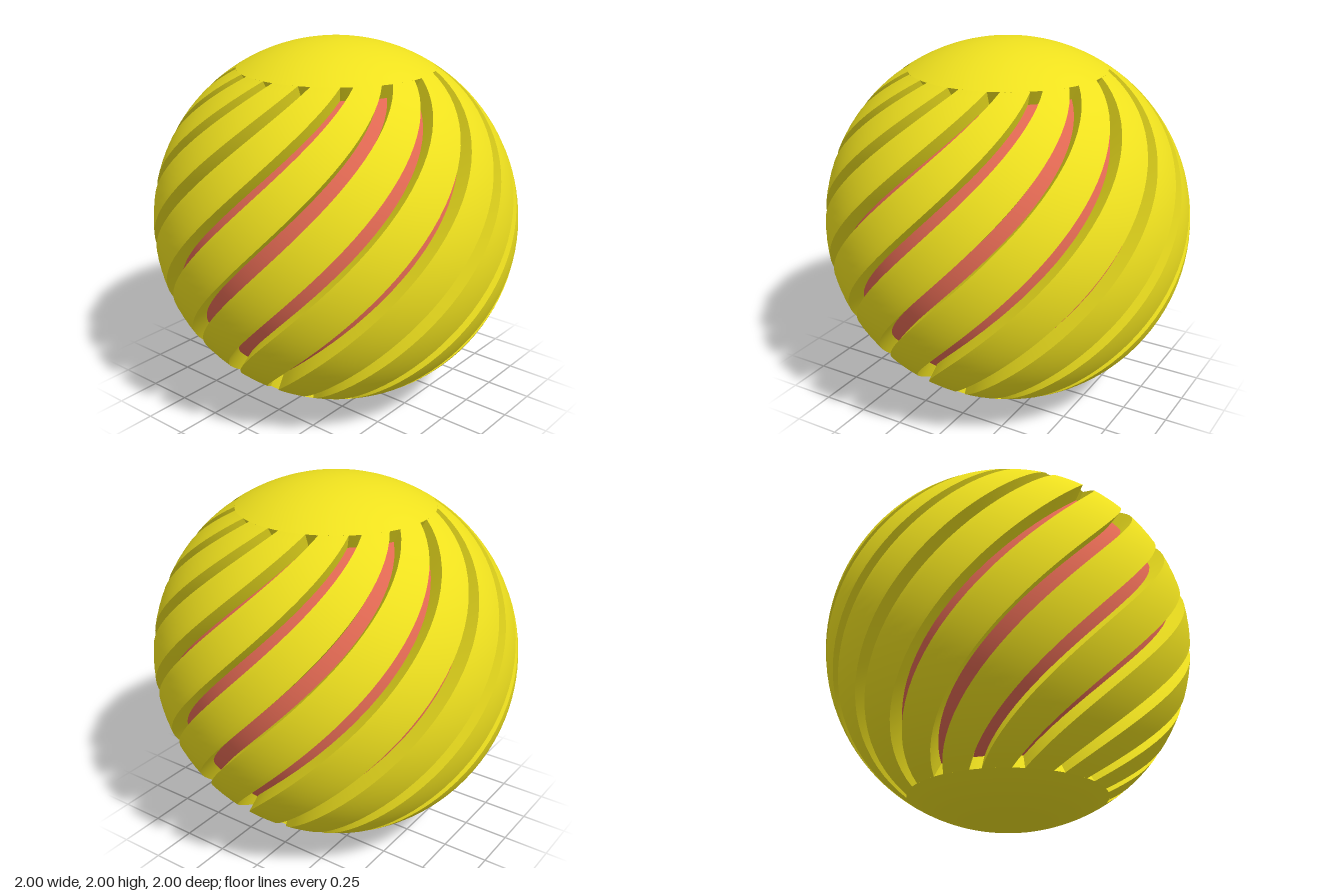
import * as THREE from 'three';
import { toCreasedNormals } from 'three/addons/utils/BufferGeometryUtils.js';

const RIBS = 16;
const CORE = 0.91;                 // radius of the inner ball
const FOOT = 0.89;                 // slot walls reach just below the ball's surface
const END = Math.asin(0.85);       // latitude where the slots end
const TWIST = THREE.MathUtils.degToRad(112.5);
const HALF_SLOT = THREE.MathUtils.degToRad(3.4);
const STEP = (Math.PI * 2) / RIBS;

const onSphere = (r, lat, phi) => [
  r * Math.cos(lat) * Math.sin(phi), r * Math.sin(lat), r * Math.cos(lat) * Math.cos(phi),
];

// One spiral rib: an arc cross-section with two radial walls, swept from low to high latitude
function ribGeometry() {
  const rows = 40, arc = 6, pos = [], idx = [];
  const cols = arc + 3;
  for (let i = 0; i <= rows; i++) {
    const lat = END * (2 * i / rows - 1);
    const start = (TWIST / 2) * (lat / END) + STEP / 2 + HALF_SLOT;
    const width = STEP - 2 * HALF_SLOT;
    for (let j = 0; j < cols; j++) {
      const t = THREE.MathUtils.clamp((j - 1) / arc, 0, 1);
      const r = j === 0 || j === cols - 1 ? FOOT : 1;
      pos.push(...onSphere(r, lat, start + width * t));
    }
  }
  for (let i = 0; i < rows; i++) {
    for (let j = 0; j < cols - 1; j++) {
      const a = i * cols + j, d = a + cols;
      idx.push(a, a + 1, d + 1, a, d + 1, d);
    }
  }
  const geo = new THREE.BufferGeometry();
  geo.setAttribute('position', new THREE.Float32BufferAttribute(pos, 3));
  geo.setIndex(idx);
  return toCreasedNormals(geo, 0.7);
}

// Polar cap with the end wall of the slots as its rim
function capGeometry() {
  const pts = [new THREE.Vector2(FOOT * Math.cos(END), FOOT * Math.sin(END))];
  const n = 10;
  for (let i = 0; i < n; i++) {
    const lat = END + (Math.PI / 2 - END) * (i / n);
    pts.push(new THREE.Vector2(Math.cos(lat), Math.sin(lat)));
  }
  pts.push(new THREE.Vector2(0, 1));
  return toCreasedNormals(new THREE.LatheGeometry(pts, 96), 0.7);
}

export function createModel() {
  const group = new THREE.Group();
  const yellow = new THREE.MeshStandardMaterial({ color: 0xeee01e, side: THREE.DoubleSide });
  const red = new THREE.MeshStandardMaterial({ color: 0xe06852 });

  const add = (name, geo, mat) => {
    const mesh = new THREE.Mesh(geo, mat);
    mesh.name = name;
    mesh.position.y = 1;
    group.add(mesh);
    return mesh;
  };

  // Inner ball seen through the slots
  add('innerBall', new THREE.SphereGeometry(CORE, 64, 48), red);

  // Top and bottom caps
  const cap = capGeometry();
  add('topCap', cap, yellow);
  add('bottomCap', cap, yellow).rotation.x = Math.PI;

  // Spiral ribs of the outer shell
  const rib = ribGeometry();
  for (let i = 0; i < RIBS; i++) add(`spiralRib${i + 1}`, rib, yellow).rotation.y = i * STEP;

  return group;
}
